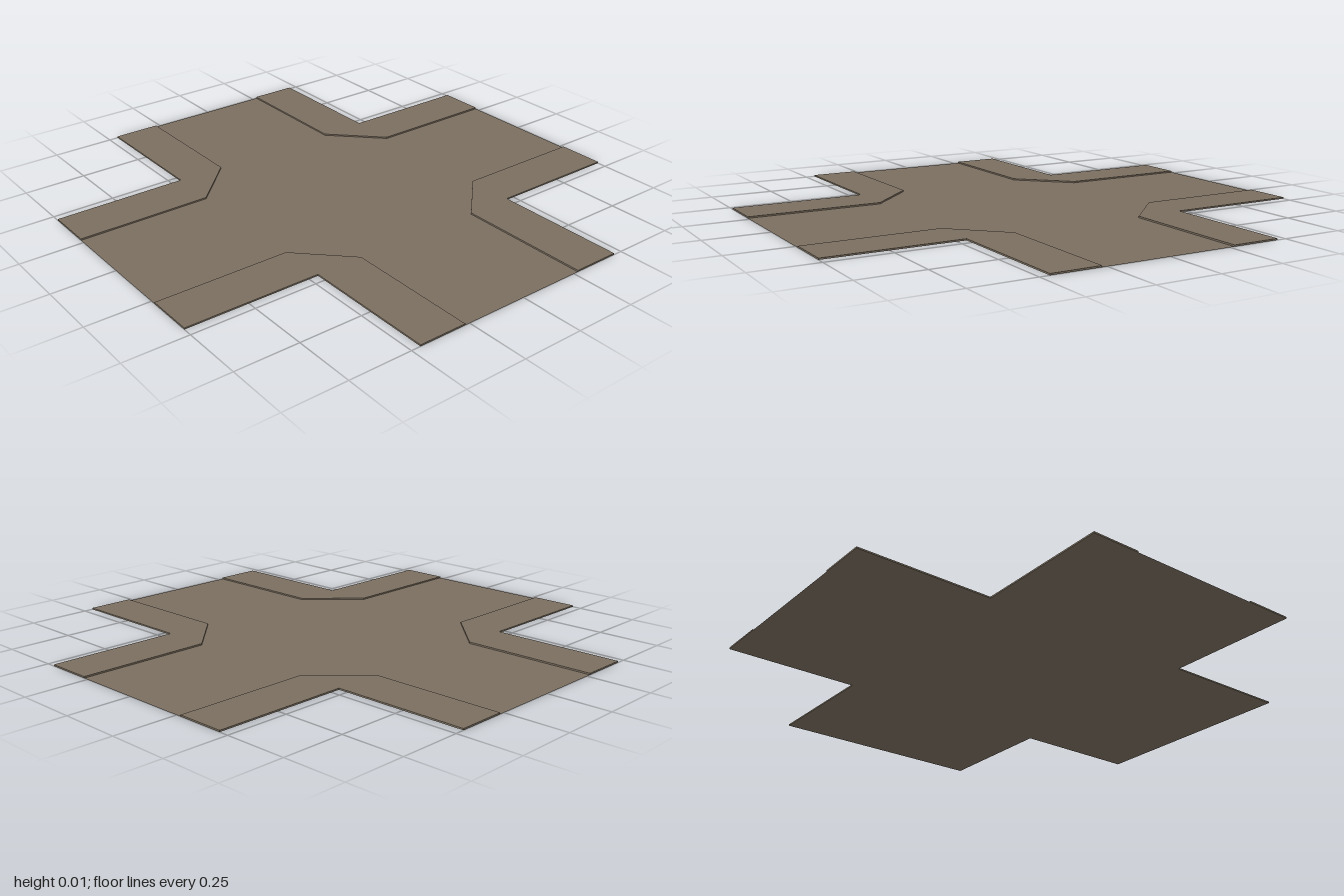
import * as THREE from 'three';

const ARM = 0.4625;  // half width of each arm
const ROAD = 0.27;   // half width of the carriageway
const KERB = 0.006;  // kerb height

const toShape = (pts) => new THREE.Shape(pts.map(([x, y]) => new THREE.Vector2(x, y)));

export function createModel() {
  const model = new THREE.Group();
  model.name = 'crossroads';
  const paving = new THREE.MeshStandardMaterial({ color: 0x7a6e5f });
  paving.name = 'brown paving';
  const roadPaving = new THREE.MeshStandardMaterial({ color: 0x7a6e5f, side: THREE.DoubleSide });
  roadPaving.name = 'brown road';

  // Flat carriageway: a cross with chamfered inner corners
  const quarter = [[1, -ROAD], [1, ROAD], [ARM, ROAD], [ROAD, ARM]];
  const outline = [];
  for (let i = 0; i < 4; i++) {
    const c = Math.round(Math.cos(i * Math.PI / 2)), s = Math.round(Math.sin(i * Math.PI / 2));
    for (const [x, y] of quarter) outline.push([c * x - s * y, s * x + c * y]);
  }
  const road = new THREE.Mesh(new THREE.ShapeGeometry(toShape(outline)).rotateX(-Math.PI / 2), roadPaving);
  road.name = 'carriageway';
  model.add(road);

  // Raised pavement wrapping each corner
  const corner = toShape([
    [1, ROAD], [1, ARM], [ARM, ARM], [ARM, 1], [ROAD, 1], [ROAD, ARM], [ARM, ROAD],
  ]);
  const cornerGeometry = new THREE.ExtrudeGeometry(corner, { depth: KERB, bevelEnabled: false });
  cornerGeometry.rotateX(-Math.PI / 2);
  for (let i = 0; i < 4; i++) {
    const pavement = new THREE.Mesh(cornerGeometry, paving);
    pavement.name = `cornerPavement${i + 1}`;
    pavement.rotation.y = i * Math.PI / 2;
    model.add(pavement);
  }
  return model;
}
